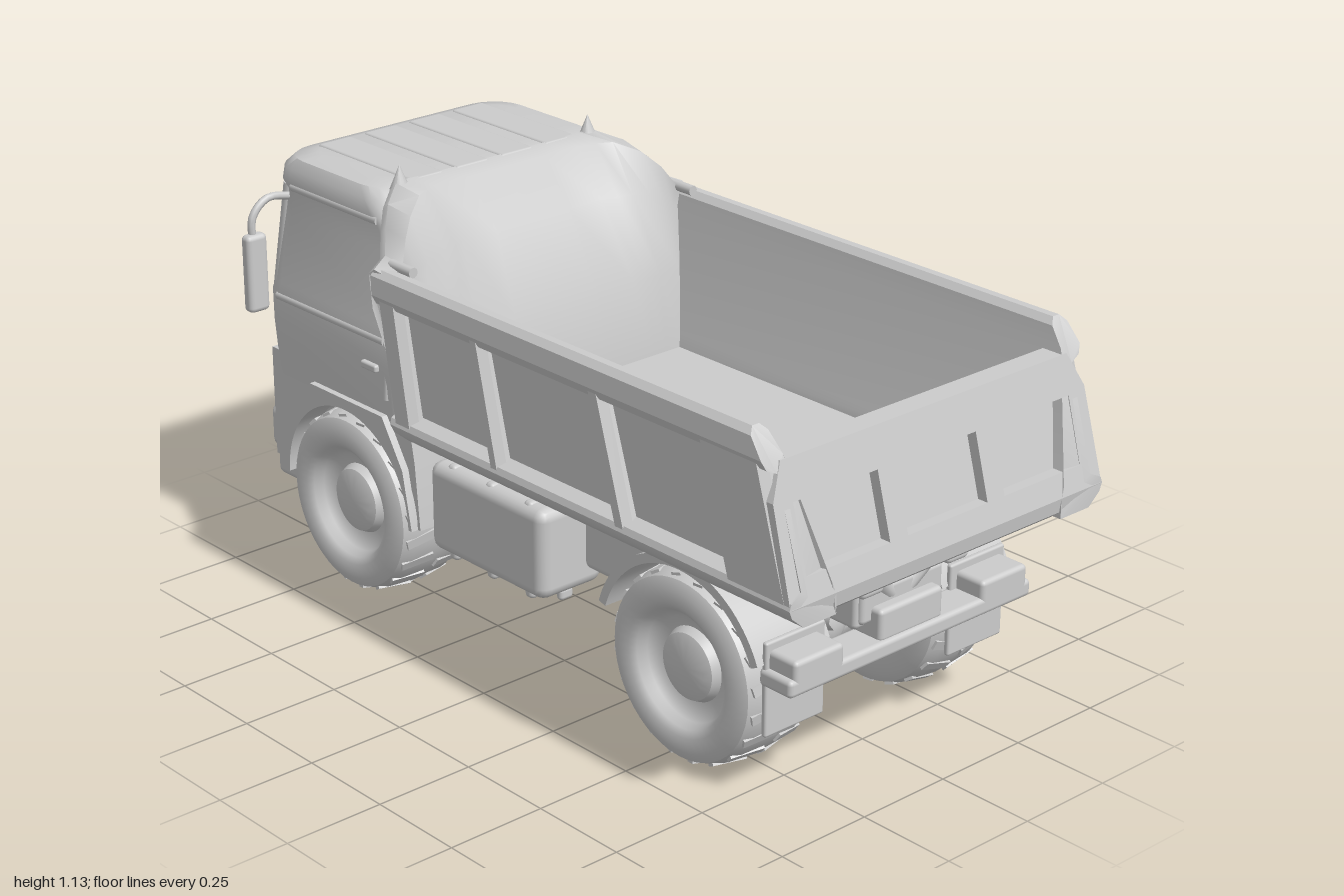
import * as THREE from 'three';
import { toCreasedNormals } from 'three/addons/utils/BufferGeometryUtils.js';
import { RoundedBoxGeometry } from 'three/addons/geometries/RoundedBoxGeometry.js';
import { ConvexGeometry } from 'three/addons/geometries/ConvexGeometry.js';

const V = (x, y, z) => new THREE.Vector3(x, y, z);
const material = new THREE.MeshStandardMaterial({ color: 0xcccccc });

export function createModel() {
  const truck = new THREE.Group();
  truck.name = 'dumpTruck';
  const add = (name, geo, parent = truck) => {
    const m = new THREE.Mesh(geo, material);
    m.name = name;
    parent.add(m);
    return m;
  };
  // box given by its min and max on each axis
  const box = (name, x0, x1, y0, y1, z0, z1, r = 0.012) => {
    const s = [x1 - x0, y1 - y0, z1 - z0];
    const m = add(name, new RoundedBoxGeometry(...s, 2, Math.min(r, Math.min(...s) * 0.45)));
    m.position.set((x0 + x1) / 2, (y0 + y1) / 2, (z0 + z1) / 2);
  };
  const rod = (name, a, b, r, sides = 10, rEnd = r) => {
    const d = b.clone().sub(a);
    const m = add(name, new THREE.CylinderGeometry(rEnd, r, d.length(), sides));
    m.position.copy(a).add(b).multiplyScalar(0.5);
    m.quaternion.setFromUnitVectors(V(0, 1, 0), d.normalize());
  };
  const reshape = (geo, rule) => {
    const p = geo.attributes.position;
    for (let i = 0; i < p.count; i++) p.setXYZ(i, ...rule(p.getX(i), p.getY(i), p.getZ(i)));
    geo.computeVertexNormals();
    return geo;
  };
  // skin over convex rings with capped ends, turned outward by its signed volume
  const loft = (rings, crease) => {
    const n = rings[0].length, tris = [];
    for (let i = 0; i + 1 < rings.length; i++) for (let j = 0; j < n; j++) {
      const k = (j + 1) % n, [a, b] = [rings[i], rings[i + 1]];
      tris.push([a[j], a[k], b[k]], [a[j], b[k], b[j]]);
    }
    const last = rings[rings.length - 1];
    for (let j = 1; j + 1 < n; j++) tris.push([rings[0][0], rings[0][j + 1], rings[0][j]], [last[0], last[j], last[j + 1]]);
    const vol = tris.reduce((s, [a, b, c]) => s + a.dot(b.clone().cross(c)), 0);
    if (vol < 0) tris.forEach(t => t.reverse());
    const g = new THREE.BufferGeometry().setFromPoints(tris.flat());
    g.computeVertexNormals();
    return toCreasedNormals(g, crease);
  };
  const shapeOf = pts => new THREE.Shape(pts.map(p => new THREE.Vector2(...p)));
  const rectHole = (x0, x1, y0, y1) => new THREE.Path([[x0, y0], [x1, y0], [x1, y1], [x0, y1]].map(p => new THREE.Vector2(...p)));
  // side-view outline given thickness from z0 to z1
  const plate = (name, shape, z0, z1) => {
    const g = new THREE.ExtrudeGeometry(shape, { depth: z1 - z0, bevelEnabled: false, curveSegments: 20 });
    add(name, toCreasedNormals(g, 0.6)).position.z = z0;
  };

  // cab: rounded plan outlines stacked upward [y, front, back, half width, corner radius]
  const cabRing = ([y, f, b, w, r]) => {
    const pts = [];
    [[b - r, w - r], [f + r, w - r], [f + r, r - w], [b - r, r - w]].forEach(([cx, cz], q) => {
      for (let i = 0; i <= 5; i++) {
        const a = (q + i / 5) * Math.PI / 2;
        pts.push(V(cx + r * Math.cos(a), y, cz + r * Math.sin(a)));
      }
    });
    return pts;
  };
  add('cab', loft([
    [0.5, -0.975, -0.42, 0.378, 0.06], [0.64, -0.985, -0.42, 0.383, 0.06], [0.72, -0.993, -0.42, 0.383, 0.07],
    [0.745, -0.985, -0.42, 0.378, 0.07], [0.93, -0.95, -0.43, 0.363, 0.07], [0.99, -0.938, -0.47, 0.36, 0.07],
    [1.01, -0.957, -0.49, 0.363, 0.07], [1.045, -0.96, -0.51, 0.358, 0.08], [1.07, -0.94, -0.53, 0.345, 0.09],
    [1.08, -0.9, -0.54, 0.3, 0.09],
  ].map(cabRing), 0.7));
  for (const z of [-0.21, -0.07, 0.07, 0.21]) box('roofRidge', -0.9, -0.53, 1.066, 1.084, z - 0.05, z + 0.05, 0.007);
  box('sunVisor', -0.97, -0.9, 1.0, 1.05, -0.3, 0.3, 0.02);

  // lower cab with wheel arches cut through
  const lower = shapeOf([[-0.97, 0.27], [-0.905, 0.27]]);
  lower.absarc(-0.65, 0.25, 0.255, Math.PI, 0, true);
  [[-0.385, 0.25], [-0.4, 0.42], [-0.425, 0.56], [-0.97, 0.56]].forEach(p => lower.lineTo(...p));
  plate('lowerCab', lower, -0.376, 0.376);
  box('engineHousing', -0.95, -0.42, 0.31, 0.55, -0.16, 0.16);
  box('airIntake', -0.43, -0.35, 0.58, 0.74, -0.36, 0.36, 0.02);
  box('bumper', -1, -0.88, 0.28, 0.4, -0.375, 0.375, 0.025);
  box('bumperLip', -0.99, -0.88, 0.205, 0.29, -0.365, 0.365, 0.02);
  for (const z of [-0.28, 0.28]) box('headlight', -1, -0.95, 0.31, 0.375, z - 0.06, z + 0.06);

  // grille with two rows of slots
  const grille = shapeOf([[-0.29, 0.43], [0.29, 0.43], [0.31, 0.68], [-0.31, 0.68]]);
  for (const y of [0.47, 0.56]) for (let i = -2; i <= 2; i++) grille.holes.push(rectHole(i * 0.105 - 0.04, i * 0.105 + 0.04, y, y + 0.05));
  const grilleGeo = new THREE.ExtrudeGeometry(grille, { depth: 0.025, bevelEnabled: false });
  grilleGeo.rotateY(-Math.PI / 2);
  add('grille', grilleGeo).position.x = -0.974;
  for (const z of [-0.3, -0.05]) rod('wiper', V(-0.99, 0.75, z), V(-0.984, 0.785, z + 0.24), 0.006);

  for (const s of [-1, 1]) {
    const span = (a, b) => s > 0 ? [a, b] : [-b, -a];
    // door frame and window surround
    rod('windowSill', V(-0.93, 0.71, s * 0.376), V(-0.5, 0.71, s * 0.376), 0.012);
    rod('frontPillar', V(-0.952, 0.72, s * 0.355), V(-0.913, 1.0, s * 0.338), 0.017);
    rod('doorPillar', V(-0.5, 0.56, s * 0.374), V(-0.5, 0.97, s * 0.352), 0.012);
    rod('windowHeader', V(-0.88, 1.0, s * 0.354), V(-0.54, 1.0, s * 0.354), 0.012);
    box('doorHandle', -0.58, -0.52, 0.625, 0.645, ...span(0.375, 0.395), 0.006);
    // mirror on a bent arm
    const arm = new THREE.CatmullRomCurve3([V(-0.9, 0.97, s * 0.34), V(-0.9, 0.98, s * 0.42), V(-0.9, 0.94, s * 0.465), V(-0.9, 0.86, s * 0.465)]);
    add('mirrorArm', new THREE.TubeGeometry(arm, 14, 0.01, 8));
    box('mirror', -0.915, -0.88, 0.7, 0.9, ...span(0.435, 0.495), 0.013);
    // angular front fender, curved rear fender and mud flap
    const flare = shapeOf([[-0.395, 0.25], [-0.425, 0.4], [-0.5, 0.52], [-0.79, 0.52], [-0.87, 0.4], [-0.905, 0.25]]);
    flare.absarc(-0.65, 0.25, 0.242, Math.PI, 0, true);
    plate('frontFender', flare, ...span(0.32, 0.395));
    const guard = new THREE.Shape();
    guard.absarc(0.56, 0.24, 0.275, 0.4, Math.PI - 0.3, false);
    guard.absarc(0.56, 0.24, 0.252, Math.PI - 0.3, 0.4, true);
    plate('rearFender', guard, ...span(0.18, 0.4));
    box('mudFlap', 0.805, 0.82, 0.17, 0.4, ...span(0.2, 0.38), 0.006);
    box('tailLight', 0.8, 0.9, 0.3, 0.38, ...span(0.22, 0.37));
    // tanks and their mounts
    box('sideTank', -0.34, 0.08, 0.225, 0.455, ...span(0.19, 0.385), 0.03);
    for (const x of [-0.27, -0.13, 0.01]) {
      box('tankBracket', x - 0.015, x + 0.015, 0.21, 0.46, ...span(0.11, 0.37));
      box('tankFoot', x + 0.03, x + 0.05, 0.2, 0.23, ...span(0.27, 0.31));
    }
    box('sideLocker', 0.08, 0.31, 0.28, 0.45, ...span(0.14, 0.26), 0.02);
    // frame, bed runners and springs
    box('frameRail', -0.9, 0.85, 0.36, 0.47, ...span(0.1, 0.14));
    box('bedRunnerFront', -0.32, 0.06, 0.46, 0.54, ...span(0.1, 0.17));
    box('bedRunnerRear', 0.32, 0.9, 0.46, 0.54, ...span(0.1, 0.17));
    for (const x of [-0.65, 0.56]) {
      const spring = new THREE.CatmullRomCurve3([V(x - 0.24, 0.37, s * 0.15), V(x, 0.29, s * 0.15), V(x + 0.24, 0.37, s * 0.15)]);
      add('leafSpring', new THREE.TubeGeometry(spring, 14, 0.02, 6));
      rod('axleTube', V(x, 0.24, 0), V(x, 0.24, s * 0.25), 0.085, 18, 0.05);
    }
    rod('tailBrace', V(0.86, 0.51, s * 0.12), V(0.84, 0.42, s * 0.03), 0.022);
    for (const x of [-0.26, -0.16, -0.06, 0.37, 0.7, 0.82]) box('bedLug', x - 0.025, x + 0.025, 0.475, 0.54, ...span(0.16, 0.29));
  }

  // underbody
  for (const x of [-0.34, -0.1, 0.15, 0.38, 0.74, 0.84]) box('frameCrossmember', x - 0.02, x + 0.02, 0.37, 0.45, -0.13, 0.13);
  box('gearbox', -0.45, -0.16, 0.24, 0.42, -0.08, 0.08, 0.04);
  rod('driveShaft', V(-0.2, 0.32, 0), V(0.56, 0.25, 0), 0.025, 12);
  rod('tippingRam', V(0.1, 0.36, 0), V(0.2, 0.53, 0), 0.035, 14);
  box('towBlock', 0.78, 0.89, 0.33, 0.41, -0.1, 0.1);
  box('rearBumper', 0.8, 0.9, 0.295, 0.338, -0.385, 0.385);
  for (const x of [-0.65, 0.56]) add('differential', new THREE.SphereGeometry(0.095, 20, 14)).position.set(x, 0.25, 0);

  // wheels: turned tyre and rim with low worn lugs
  const profile = [[0, -0.06], [0.12, -0.06], [0.135, -0.09], [0.155, -0.111], [0.195, -0.112], [0.218, -0.1], [0.23, -0.07], [0.235, 0],
    [0.23, 0.07], [0.218, 0.1], [0.195, 0.112], [0.16, 0.111], [0.143, 0.1], [0.132, 0.078], [0.115, 0.063], [0.09, 0.058],
    [0.08, 0.078], [0.06, 0.086], [0, 0.088]].map(p => new THREE.Vector2(...p));
  const wheelGeo = toCreasedNormals(new THREE.LatheGeometry(profile, 48), 0.7);
  const lugGeo = new THREE.BoxGeometry(0.012, 0.085, 0.024);
  for (const x of [-0.65, 0.56]) for (const s of [-1, 1]) {
    const wheel = new THREE.Group();
    wheel.name = 'wheel';
    add('tyreAndRim', wheelGeo, wheel);
    for (let i = 0; i < 40; i++) {
      const a = i / 40 * Math.PI * 2, side = i % 2 ? 1 : -1;
      const lug = add('treadLug', lugGeo, wheel);
      // each lug follows the crown of the tyre and is set at a slight skew
      lug.position.set(0.228 * Math.cos(a), side * 0.05, 0.228 * Math.sin(a));
      lug.rotation.set(side * 0.25, -a, side * 0.14, 'YZX');
    }
    wheel.position.set(x, 0.243, s * 0.292);
    wheel.rotation.x = s * Math.PI / 2;
    truck.add(wheel);
  }

  // tipping bed: slanted ends with the upper rear corner rounded off
  const frontX = y => -0.4 + (0.95 - y) * 0.17;
  const rearX = y => Math.min(1, 0.893 + (0.95 - y) * 0.3) - Math.max(0, y - 0.89) * 0.5;
  box('bedFloor', -0.32, 0.96, 0.525, 0.575, -0.38, 0.38);
  const wall = shapeOf([[0.355, 0.53], [0.45, 0.53], [0.485, 0.56], [0.493, 0.58], [0.487, 0.595], [0.455, 0.61], [0.458, 0.855], [0.485, 0.868],
    [0.495, 0.89], [0.49, 0.935], [0.475, 0.95], [0.455, 0.95], [0.44, 0.935], [0.432, 0.89], [0.365, 0.605], [0.355, 0.575]]);
  for (const s of [-1, 1]) {
    const g = new THREE.ExtrudeGeometry(wall, { depth: 1, bevelEnabled: false });
    g.rotateY(Math.PI / 2);
    if (s > 0) g.rotateY(Math.PI).translate(1, 0, 0);
    reshape(g, (t, y, z) => [frontX(y) + t * (rearX(y) - frontX(y)), y, z]);
    add('bedSide', toCreasedNormals(g, 0.5));
    // ribs [x at top, width, lean toward the rear]
    for (const [x, w, lean] of [[-0.38, 0.075, 0.05], [-0.05, 0.045, 0.07], [0.355, 0.05, 0.09], [0.71, 0.193, 0.092]]) {
      const pts = [];
      for (const [y, dx] of [[0.88, 0], [0.58, lean]]) for (const [e, z] of [[0, 0.44], [0, 0.468], [0.012, 0.49]])
        pts.push(V(x + dx + e, y, s * z), V(x + dx + w - e, y, s * z));
      add('bedRib', new ConvexGeometry(pts));
    }
    rod('latch', V(-0.38, 0.955, s * 0.44), V(-0.3, 0.955, s * 0.44), 0.013);
    const horn = add('headboardHorn', new THREE.ConeGeometry(0.025, 0.06, 12));
    horn.position.set(-0.53, 1.1, s * 0.295);
  }

  // headboard sweeping over the cab back, with swollen shoulders [z, x, y, swell]
  const half = [[0.485, -0.39, 0.95, 0], [0.44, -0.405, 0.97, 0.005], [0.41, -0.44, 1.02, 0.015], [0.37, -0.48, 1.06, 0.025],
    [0.31, -0.525, 1.088, 0.03], [0.27, -0.535, 1.088, 0.02], [0.23, -0.54, 1.084, 0], [0.12, -0.54, 1.083, 0]];
  const edge = [...half, ...half.slice().reverse().map(([z, ...rest]) => [-z, ...rest])];
  add('headboard', loft(edge.map(([z, x, y, swell]) => {
    const zb = THREE.MathUtils.clamp(z, -0.37, 0.37);
    const rise = (y - 0.95) / 0.135;
    return [V(x - 0.02, y - 0.015, z), V(x, y, z), V(x + 0.05 + swell, y - 0.012, z * 0.98),
      V(-0.35 - 0.04 * rise + swell, 0.9 + 0.06 * rise, z * 0.95), V(-0.305, 0.76, zb * 1.08), V(-0.255, 0.575, zb),
      V(-0.255, 0.53, zb), V(-0.34, 0.53, zb * 1.15), V(-0.4, 0.85, z)];
  }), 0.8));

  // tailgate frame with three recessed panels, leaning out toward its foot
  const lean = (x, y, z) => [x + 0.86 + (0.88 - y) * 0.28, y, z];
  const gate = shapeOf([[-0.49, 0.58], [0.49, 0.58], [0.485, 0.8], [0.445, 0.88], [-0.445, 0.88], [-0.485, 0.8]]);
  for (const c of [-0.305, 0, 0.305]) gate.holes.push(rectHole(c - 0.125, c + 0.125, 0.635, 0.79));
  const gateGeo = new THREE.ExtrudeGeometry(gate, { depth: 0.056, bevelEnabled: false });
  add('tailgate', reshape(gateGeo.rotateY(Math.PI / 2), lean));
  add('tailgatePanel', reshape(new THREE.BoxGeometry(0.02, 0.28, 0.86).translate(0.018, 0.72, 0), lean));
  const lip = [];
  for (const s of [-1, 1]) lip.push(V(0.9, 0.58, s * 0.49), V(1, 0.58, s * 0.49), V(0.9, 0.53, s * 0.45), V(0.995, 0.545, s * 0.455), V(0.97, 0.525, s * 0.44));
  add('tailgateLip', new ConvexGeometry(lip));
  return truck;
}
